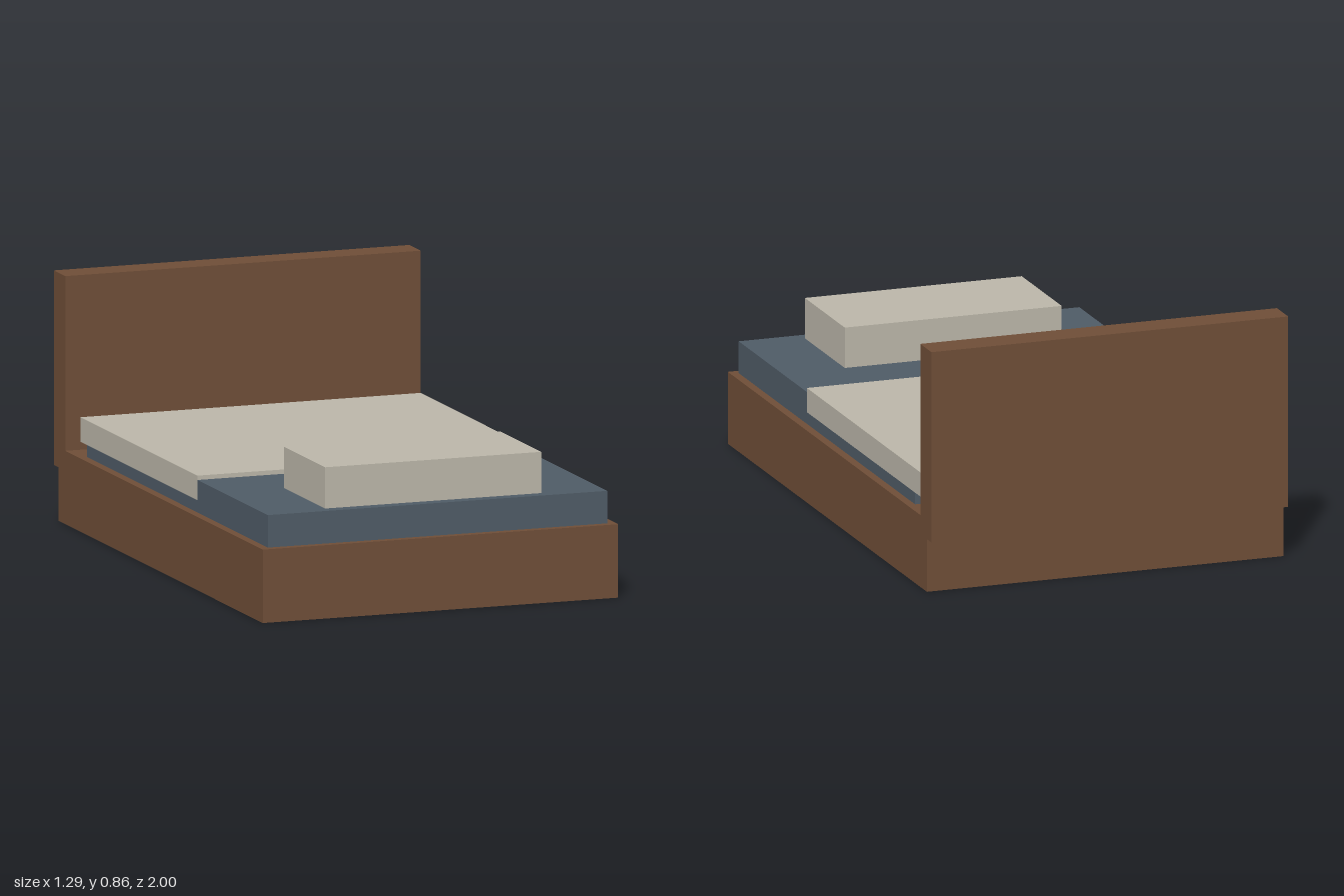
import * as THREE from 'three';

const wood = new THREE.MeshStandardMaterial({ color: 0x6f4e37 });
const blue = new THREE.MeshStandardMaterial({ color: 0x4f5b66 });
const linen = new THREE.MeshStandardMaterial({ color: 0xbbb6a9 });

// Box centred on x, given its full width and its y and z ranges
function slab(name, material, width, [y0, y1], [z0, z1]) {
  const mesh = new THREE.Mesh(new THREE.BoxGeometry(width, y1 - y0, z1 - z0), material);
  mesh.position.set(0, (y0 + y1) / 2, (z0 + z1) / 2);
  mesh.name = name;
  return mesh;
}

export function createModel() {
  const bed = new THREE.Group();
  bed.name = 'bed';
  bed.add(
    slab('bedBase', wood, 1.286, [0, 0.253], [-0.955, 1]),
    // Headboard overhangs the back of the base
    slab('headboard', wood, 1.286, [0.185, 0.855], [-1, -0.89]),
    slab('mattress', blue, 1.228, [0.253, 0.365], [-0.76, 0.972]),
    // Blanket is a hair wider than the mattress so its sides show cleanly
    slab('blanket', linen, 1.23, [0.295, 0.38], [-0.817, 0.3]),
    slab('pillow', linen, 0.782, [0.365, 0.507], [0.538, 0.93]),
  );
  return bed;
}
